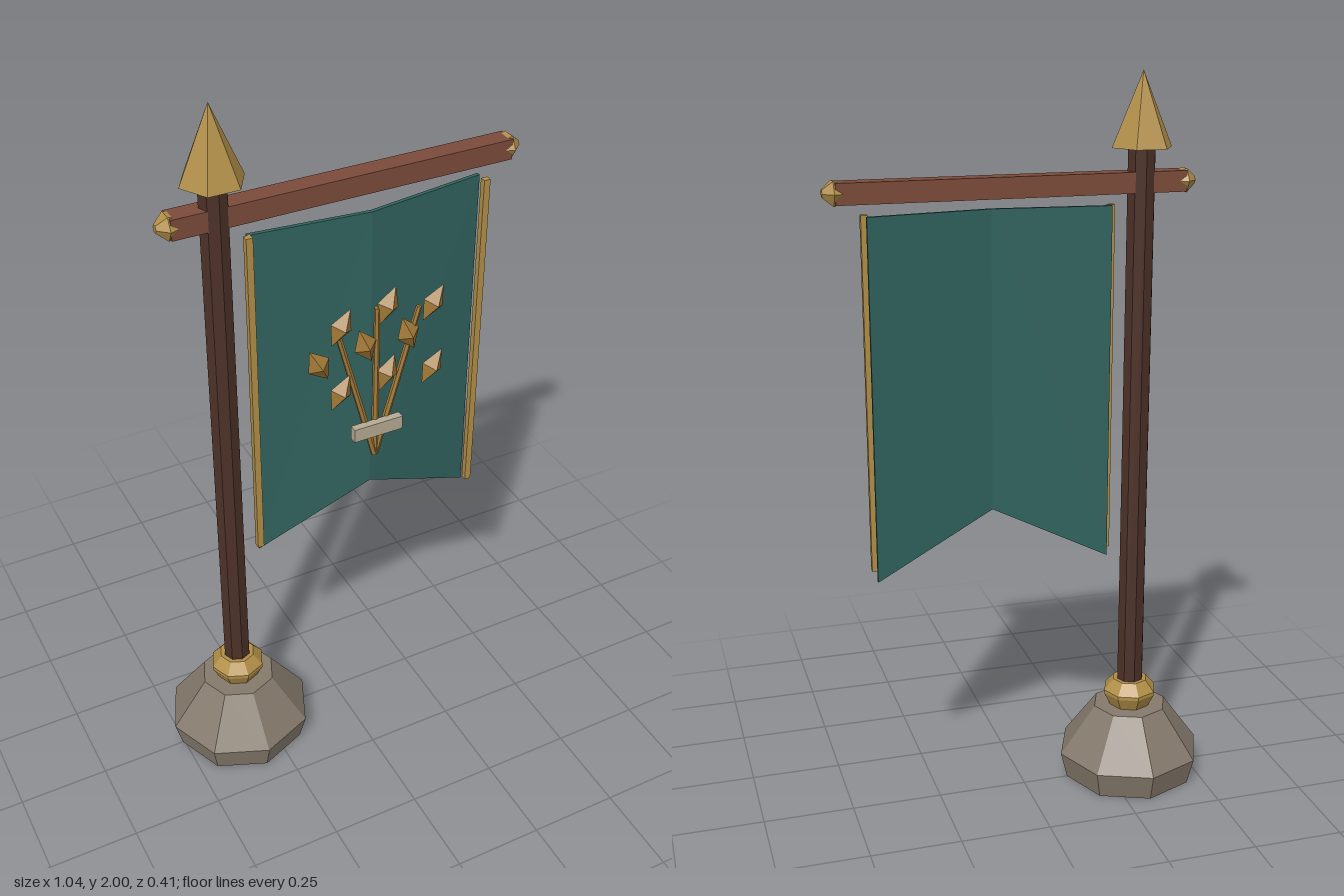
import * as THREE from 'three';

const mat = (name, color) => {
  const m = new THREE.MeshStandardMaterial({ color });
  m.name = name;
  m.flatShading = true;
  return m;
};

export function createModel() {
  const group = new THREE.Group();
  const stone = mat('stone', 0x857a6c);
  const darkWood = mat('dark wood', 0x4c3128);
  const redWood = mat('red wood', 0x7b4b3a);
  const gold = mat('gold', 0xb28f48);
  const bronze = mat('bronze', 0xa27a38);
  const cloth = mat('teal cloth', 0x31645f);
  const pale = mat('pale clasp', 0xb5aa92);

  const add = (name, geometry, material, x = 0, y = 0, z = 0, parent = group) => {
    const mesh = new THREE.Mesh(geometry, material);
    mesh.name = name;
    mesh.position.set(x, y, z);
    parent.add(mesh);
    return mesh;
  };
  const lathe = (points, sides) =>
    new THREE.LatheGeometry(points.map(([r, y]) => new THREE.Vector2(r, y)), sides);

  // Pole with its foot, collar and spear tip
  const poleX = -0.318;
  add('base', lathe([[0, 0], [0.188, 0], [0.207, 0.075], [0.106, 0.215], [0, 0.215]], 8), stone, poleX);
  add('collar', lathe([[0, 0.213], [0.058, 0.213], [0.077, 0.252], [0.077, 0.262], [0.05, 0.294], [0, 0.294]], 8), gold, poleX);
  add('pole', new THREE.CylinderGeometry(0.038, 0.038, 1.6, 8), darkWood, poleX, 1.01);
  add('spearTip', new THREE.ConeGeometry(0.083, 0.195, 6), gold, poleX, 1.9025).rotation.y = Math.PI / 6;

  // Crossbar with a knob on each end
  add('crossbar', new THREE.BoxGeometry(0.925, 0.055, 0.055), redWood, 0.027, 1.717, 0);
  for (const side of [-1, 1]) {
    const knob = add('crossbarKnob',
      lathe([[0, -0.02], [0.028, -0.02], [0.036, 0.003], [0.011, 0.03], [0, 0.03]], 6),
      gold, 0.027 + side * 0.463, 1.717, 0);
    knob.rotation.z = -side * Math.PI / 2;
  }

  // Banner: two panels meeting at a forward fold, with a notched bottom
  const foldX = 0.075, top = 1.655, thick = 0.011;
  const panel = (edgeX, edgeZ) => {
    const shape = new THREE.Shape([
      new THREE.Vector2(edgeX, 0.675), new THREE.Vector2(foldX, 0.83),
      new THREE.Vector2(foldX, top), new THREE.Vector2(edgeX, top),
    ]);
    const g = new THREE.ExtrudeGeometry(shape, { depth: thick, bevelEnabled: false });
    const p = g.attributes.position;
    for (let i = 0; i < p.count; i++) {
      const t = (p.getX(i) - foldX) / (edgeX - foldX);
      const foldZ = 0.05 + (top - p.getY(i)) * 0.011;
      p.setZ(i, p.getZ(i) - thick / 2 + THREE.MathUtils.lerp(foldZ, edgeZ, t));
    }
    g.computeVertexNormals();
    return g;
  };
  add('bannerRightPanel', panel(-0.245, 0.018), cloth);
  add('bannerLeftPanel', panel(0.41, 0.0), cloth);
  for (const x of [-0.247, 0.411]) {
    add('bannerTrim', new THREE.BoxGeometry(0.018, 0.96, 0.017), gold, x, 1.176, 0.033);
  }

  // Emblem: three stems with buds, held by a clasp
  const emblem = new THREE.Group();
  emblem.name = 'emblem';
  group.add(emblem);
  const up = new THREE.Vector3(0, 1, 0);
  const foot = new THREE.Vector3(foldX, 0.94, 0.088);
  for (const [x, y] of [[-0.042, 1.37], [0.075, 1.4], [0.197, 1.37]]) {
    const tip = new THREE.Vector3(x, y, 0.088);
    const dir = tip.clone().sub(foot);
    const mid = foot.clone().add(tip).multiplyScalar(0.5);
    const stem = add('stem', new THREE.CylinderGeometry(0.008, 0.01, dir.length(), 6), bronze, mid.x, mid.y, mid.z, emblem);
    stem.quaternion.setFromUnitVectors(up, dir.normalize());
  }
  const buds = [
    [-0.093, 1.278, 0.5], [-0.03, 1.373, -0.5], [-0.03, 1.175, -0.5],
    [0.04, 1.298, 0.35], [0.103, 1.402, -0.4], [0.105, 1.197, -0.4],
    [0.165, 1.3, 0.35], [0.236, 1.373, -0.55], [0.24, 1.175, -0.55],
  ];
  for (const [x, y, lean] of buds) {
    const bud = add('bud', new THREE.OctahedronGeometry(1), bronze, x, y, 0.093, emblem);
    bud.scale.set(0.033, 0.055, 0.027);
    bud.rotation.z = lean;
  }
  add('clasp', new THREE.BoxGeometry(0.143, 0.04, 0.022), pale, 0.072, 1.037, 0.104, emblem);

  return group;
}
